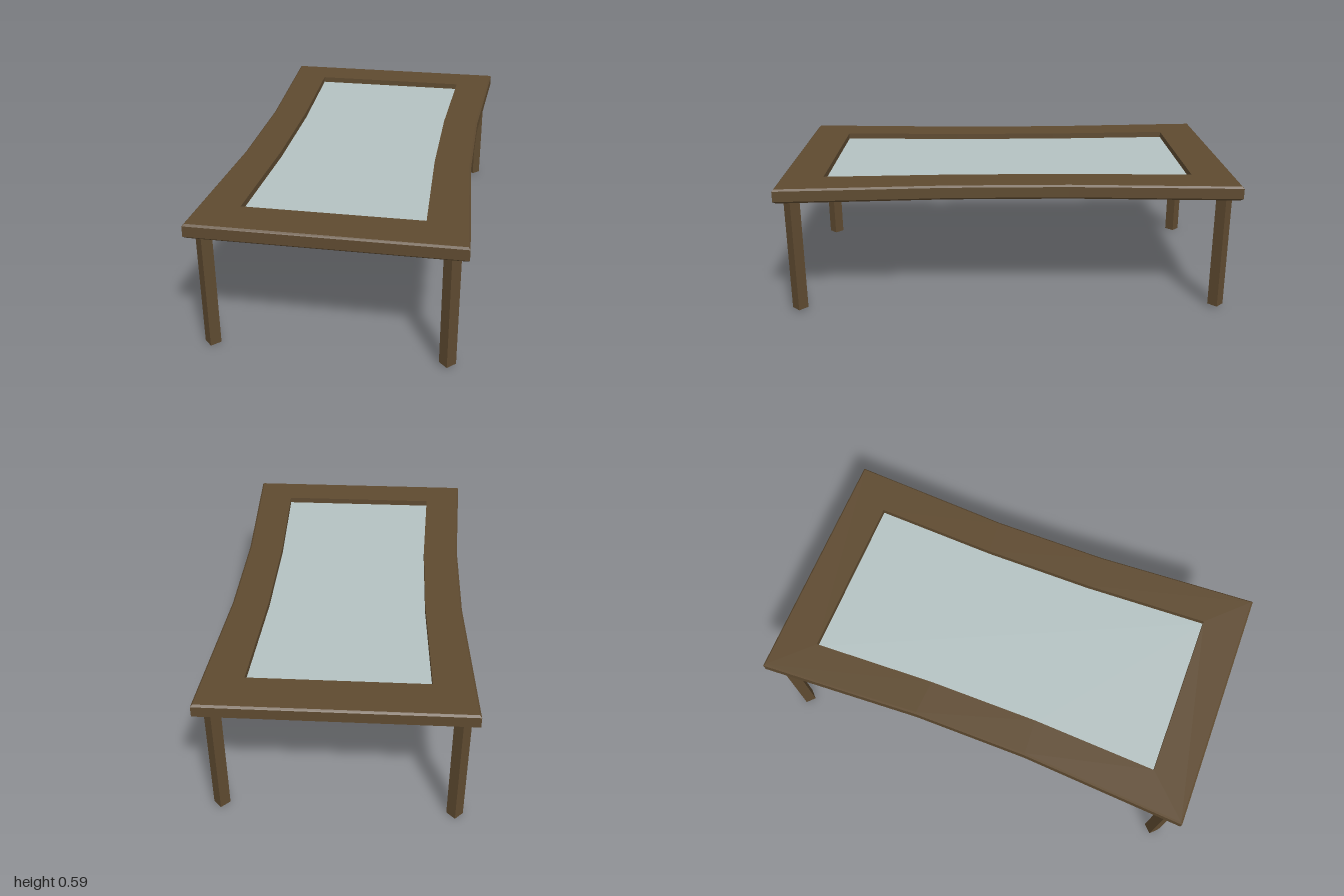
import * as THREE from 'three';

// Symmetric waisted outline, counter-clockwise seen from above
function outline(endX, endZ, waistX, waistZ) {
  const side = [[endX, endZ], [waistX, waistZ], [waistX, -waistZ], [endX, -endZ]];
  return [...side, ...side.map(([x, z]) => [-x, -z])];
}

// Frame: a closed cross-section (outer wall with chamfers, inner wall) swept round the outline
function frameGeometry() {
  const outer = (inset) => outline(0.557 - inset, 1 - inset, 0.517 - inset, 0.26);
  const inner = outline(0.375, 0.813, 0.353, 0.25);
  const rings = [
    [inner, 0.522], [outer(0.012), 0.522], [outer(0), 0.532],
    [outer(0), 0.578], [outer(0.008), 0.586], [inner, 0.586],
  ];
  const positions = [];
  const n = inner.length;
  rings.forEach(([low, y0], k) => {
    const [high, y1] = rings[(k + 1) % rings.length];
    for (let j = 0; j < n; j++) {
      const i = (j + 1) % n;
      const a = [low[j][0], y0, low[j][1]], b = [low[i][0], y0, low[i][1]];
      const c = [high[i][0], y1, high[i][1]], d = [high[j][0], y1, high[j][1]];
      positions.push(...a, ...b, ...c, ...a, ...c, ...d);
    }
  });
  const geometry = new THREE.BufferGeometry();
  geometry.setAttribute('position', new THREE.Float32BufferAttribute(positions, 3));
  geometry.computeVertexNormals();
  return geometry;
}

export function createModel() {
  const table = new THREE.Group();
  table.name = 'table';
  const wood = new THREE.MeshStandardMaterial({ color: 0x5e4a30, flatShading: true });
  const glass = new THREE.MeshStandardMaterial({ color: 0xb4c2c2, flatShading: true });

  const add = (name, geometry, material) => {
    const mesh = new THREE.Mesh(geometry, material);
    mesh.name = name;
    table.add(mesh);
    return mesh;
  };

  add('tabletopFrame', frameGeometry(), wood);

  // Glass pane, recessed between the frame's two faces
  const paneShape = new THREE.Shape(
    outline(0.377, 0.815, 0.355, 0.25).map(([x, z]) => new THREE.Vector2(x, -z)));
  const paneGeometry = new THREE.ExtrudeGeometry(paneShape, { depth: 0.008, bevelEnabled: false });
  paneGeometry.rotateX(-Math.PI / 2);
  add('glassPane', paneGeometry, glass).position.y = 0.551;

  // Square legs turned 45 degrees, edges facing outwards
  for (const [sideName, x, foot] of [['left', 0.49, 0.01], ['right', -0.495, 0]]) {
    for (const [endName, z] of [['Front', 0.935], ['Back', -0.935]]) {
      const height = 0.53 - foot;
      const leg = add(`${sideName}${endName}Leg`, new THREE.BoxGeometry(0.049, height, 0.049), wood);
      leg.position.set(x, foot + height / 2, z);
      leg.rotation.y = Math.PI / 4;
    }
  }
  return table;
}
